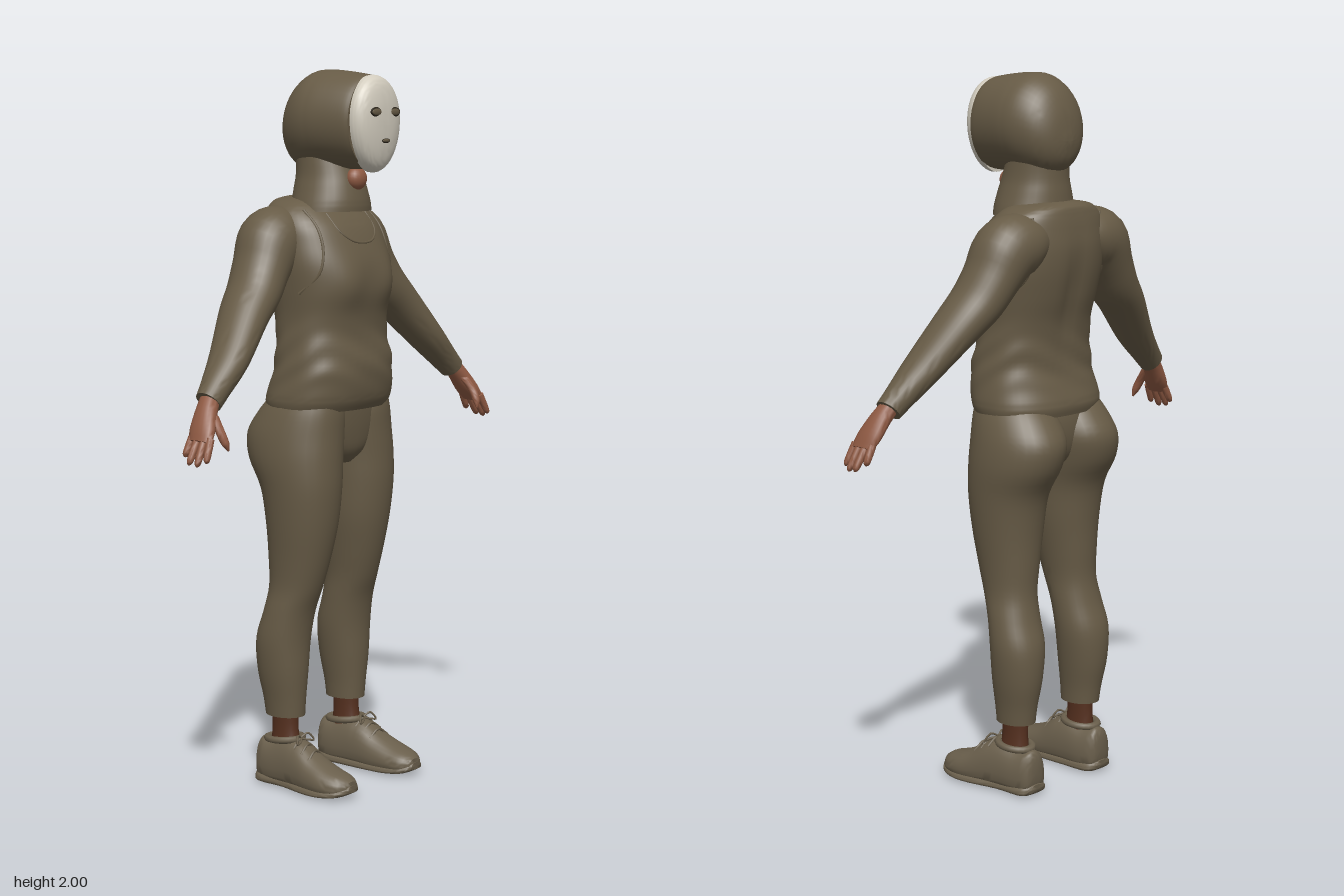
import * as THREE from 'three';
import { toCreasedNormals } from 'three/addons/utils/BufferGeometryUtils.js';

const mat = (name, color) => {
  const m = new THREE.MeshStandardMaterial({ color });
  m.name = name;
  return m;
};

// Smoothly interpolate rows of numbers
function spline(rows, steps) {
  const out = [], last = rows.length - 1;
  const get = (i) => rows[Math.min(last, Math.max(0, i))];
  for (let k = 0; k <= last * steps; k++) {
    const i = Math.min(last - 1, Math.floor(k / steps)), t = k / steps - i;
    out.push(get(i).map((b, c) => {
      const a = get(i - 1)[c], d = get(i + 1)[c], e = get(i + 2)[c];
      return b + 0.5 * t * (d - a + t * (2 * a - 5 * b + 4 * d - e + t * (3 * (b - d) + e - a)));
    }));
  }
  return out;
}

// Closed skin over rings of points; winding is corrected by signed volume
function loft(rows, point, seg = 32, steps = 4, crease = 0.9) {
  const rings = spline(rows, steps), pos = [], idx = [];
  rings.forEach((r, i) => {
    for (let j = 0; j < seg; j++) pos.push(...point(r, (j / seg) * Math.PI * 2, i, rings));
  });
  const n = rings.length;
  for (let i = 0; i < n - 1; i++) for (let j = 0; j < seg; j++) {
    const a = i * seg + j, b = i * seg + (j + 1) % seg;
    idx.push(a, b, a + seg, b, b + seg, a + seg);
  }
  for (const [ring, flip] of [[0, true], [n - 1, false]]) {
    const c = [0, 0, 0], id = pos.length / 3;
    for (let j = 0; j < seg; j++) for (let k = 0; k < 3; k++) c[k] += pos[(ring * seg + j) * 3 + k] / seg;
    pos.push(...c);
    for (let j = 0; j < seg; j++) {
      const a = ring * seg + j, b = ring * seg + (j + 1) % seg;
      idx.push(id, flip ? b : a, flip ? a : b);
    }
  }
  let volume = 0;
  const P = (i) => new THREE.Vector3().fromArray(pos, i * 3);
  for (let i = 0; i < idx.length; i += 3) volume += P(idx[i]).dot(P(idx[i + 1]).cross(P(idx[i + 2])));
  if (volume < 0) idx.reverse();
  const g = new THREE.BufferGeometry();
  g.setAttribute('position', new THREE.Float32BufferAttribute(pos, 3));
  g.setIndex(idx);
  return toCreasedNormals(g, crease);
}

const pw = (v, e) => Math.sign(v) * Math.abs(v) ** (2 / e);

// Horizontal section [y, xc, halfWidth, zFront, zBack]
const level = (s = 1, e = 2.1) => ([y, xc, w, f, b], a) =>
  [s * (xc + w * pw(Math.cos(a), e)), y, (f + b) / 2 + (f - b) / 2 * pw(Math.sin(a), e)];

// Section across a limb [x, y, z, radius, zRadius]
const limb = (s) => ([x, y, z, r, rz], a, i, all) => {
  const p = all[Math.max(0, i - 1)], q = all[Math.min(all.length - 1, i + 1)];
  const dx = q[0] - p[0], dy = q[1] - p[1], l = Math.hypot(dx, dy) || 1;
  return [s * (x - dy / l * r * Math.cos(a)), y + dx / l * r * Math.cos(a), z + rz * Math.sin(a)];
};

// Section across a shoe [z, xc, halfWidth, yBottom, yTop]
const shoeSection = (s) => ([z, xc, w, lo, hi], a) => {
  const y = Math.sin(a), mid = lo + (hi - lo) * 0.35;
  return [s * (xc + w * pw(Math.cos(a), 2.4)), mid + (y > 0 ? (hi - mid) * pw(y, 2) : (mid - lo) * pw(y, 4)), z];
};

const TORSO = [
  [1.07, 0, 0.192, 0.115, -0.145], [1.1, 0, 0.198, 0.13, -0.15], [1.15, 0, 0.192, 0.138, -0.135],
  [1.2, 0, 0.185, 0.138, -0.123], [1.27, 0, 0.176, 0.125, -0.122], [1.33, 0, 0.173, 0.127, -0.13],
  [1.4, 0, 0.18, 0.139, -0.15], [1.47, 0, 0.187, 0.135, -0.165], [1.53, 0, 0.185, 0.115, -0.17],
  [1.58, 0, 0.18, 0.088, -0.165], [1.62, 0, 0.16, 0.05, -0.158], [1.645, 0, 0.12, 0.02, -0.15],
  [1.655, 0, 0.06, -0.02, -0.13],
];
const TE = 2.4;

// Depth of the vest surface at x, y on the front (1) or back (-1)
function vestZ(x, y, side) {
  let i = 0;
  while (i < TORSO.length - 2 && TORSO[i + 1][0] < y) i++;
  const t = (y - TORSO[i][0]) / (TORSO[i + 1][0] - TORSO[i][0]);
  const [, , w, f, b] = TORSO[i].map((v, k) => v + (TORSO[i + 1][k] - v) * t);
  return (f + b) / 2 + side * (f - b) / 2 * Math.max(0, 1 - (Math.abs(x) / w) ** TE) ** (1 / TE);
}

export function createModel() {
  const cloth = mat('olive cloth', 0x675b46), shoeMat = mat('olive shoe', 0x6a5f4c);
  const skin = mat('skin', 0x8f5a43), sock = mat('dark ankle', 0x55301f);
  const white = mat('mask white', 0xd2ccbe), dark = mat('dark outline', 0x2c261c);
  const root = new THREE.Group();
  root.name = 'maskedFigure';
  const add = (name, geo, m, parent = root) => {
    const mesh = new THREE.Mesh(geo, m);
    mesh.name = name;
    parent.add(mesh);
    return mesh;
  };
  const blob = (name, m, p, s) => {
    const b = add(name, new THREE.SphereGeometry(1, 20, 14), m);
    b.position.set(...p);
    b.scale.set(...s);
  };
  const tube = (name, pts, r, m, parent) => add(name, new THREE.TubeGeometry(
    new THREE.CatmullRomCurve3(pts.map((p) => new THREE.Vector3(...p))), 28, r, 6), m, parent);

  // Vest with chest volume and soft folds at the waist
  add('vest', loft(TORSO, (r, a) => {
    const p = level(1, TE)(r, a), [x, y] = p;
    if (Math.sin(a) > 0) p[2] += 0.012 * Math.exp(-(((Math.abs(x) - 0.085) / 0.05) ** 2) - ((y - 1.42) / 0.06) ** 2);
    else p[2] += 0.014 * Math.exp(-((x / 0.03) ** 2) - ((y - 1.42) / 0.12) ** 2);
    const fold = 0.003 * Math.exp(-(((y - 1.22) / 0.07) ** 2)) * Math.sin(75 * y + 5 * Math.sin(a * 2));
    return [x * (1 + fold * 5), y, p[2] + fold * Math.sin(a)];
  }, 56, 5), cloth);

  // Vest seams
  const neckline = [[-0.085, 1.61], [-0.078, 1.565], [-0.045, 1.537], [0, 1.53], [0.045, 1.537], [0.078, 1.565], [0.085, 1.61]];
  tube('necklineSeam', neckline.map(([x, y]) => [x, y, vestZ(x, y, 1)]), 0.0035, cloth);
  for (const s of [1, -1]) for (const side of [1, -1]) {
    const hole = [[0.135, 1.62], [0.135, 1.57], [0.14, 1.51], [0.155, 1.45], [0.177, 1.395]];
    tube('armholeSeam', hole.map(([x, y]) => [s * x, y, vestZ(x, y, side)]), 0.0045, cloth);
  }

  // Hips between the legs
  add('hips', loft([[0.915, 0, 0.04, 0.06, -0.09], [0.95, 0, 0.11, 0.085, -0.12], [1.0, 0, 0.165, 0.095, -0.135],
    [1.06, 0, 0.185, 0.1, -0.135], [1.12, 0, 0.18, 0.1, -0.12]], level(1, 2.3)), cloth);

  // Hood: cowl and head covering
  add('cowl', loft([[1.615, 0, 0.118, 0.104, -0.11], [1.64, 0, 0.112, 0.104, -0.107], [1.68, 0, 0.1, 0.096, -0.104],
    [1.72, 0, 0.09, 0.084, -0.1], [1.79, 0, 0.085, 0.06, -0.1]], level()), cloth);
  add('hood', loft([[-0.133, 0.01, 1.82, 0.01], [-0.121, 0.06, 1.832, 0.068], [-0.09, 0.1, 1.847, 0.114],
    [-0.04, 0.123, 1.86, 0.136], [0.01, 0.128, 1.864, 0.136], [0.07, 0.121, 1.862, 0.133],
    [0.12, 0.111, 1.859, 0.129], [0.14, 0.104, 1.857, 0.125]],
  ([z, w, y, h], a) => [w * Math.cos(a), y + h * Math.sin(a), z], 40), cloth);
  blob('chin', skin, [0, 1.704, 0.088], [0.034, 0.032, 0.026]);

  // Face mask with eyes and mouth
  add('mask', loft([[0.135, 0.098, 0.131], [0.152, 0.098, 0.131], [0.17, 0.089, 0.12], [0.182, 0.07, 0.096],
    [0.19, 0.04, 0.055], [0.1925, 0.003, 0.004]],
  ([z, w, h], a) => [w * Math.cos(a) * (0.97 + 0.08 * Math.sin(a)), 1.853 + h * Math.sin(a), z], 40), white);
  for (const s of [1, -1]) {
    blob('eyeOutline', dark, [s * 0.04, 1.885, 0.188], [0.025, 0.013, 0.004]);
    blob('eye', cloth, [s * 0.04, 1.885, 0.189], [0.021, 0.01, 0.0045]);
  }
  blob('mouthOutline', dark, [0, 1.808, 0.189], [0.019, 0.0075, 0.0035]);
  blob('mouth', cloth, [0, 1.808, 0.19], [0.016, 0.005, 0.0038]);

  for (const s of [1, -1]) {
    const side = new THREE.Group();
    side.name = s > 0 ? 'leftLimbs' : 'rightLimbs';
    root.add(side);

    // Sleeve
    add('sleeve', loft([[0.08, 1.55, -0.075, 0.06, 0.07], [0.13, 1.55, -0.073, 0.082, 0.088],
      [0.185, 1.528, -0.068, 0.092, 0.092], [0.23, 1.465, -0.06, 0.075, 0.085], [0.275, 1.402, -0.048, 0.067, 0.082],
      [0.335, 1.342, -0.033, 0.058, 0.076], [0.43, 1.238, 0, 0.046, 0.062], [0.5, 1.17, 0.015, 0.039, 0.045],
      [0.537, 1.135, 0.022, 0.036, 0.037]], limb(s)), cloth, side);

    // Hand
    add('palm', loft([[0.525, 1.15, 0.022, 0.024, 0.028], [0.555, 1.115, 0.033, 0.024, 0.033],
      [0.585, 1.07, 0.045, 0.021, 0.041], [0.605, 1.038, 0.053, 0.014, 0.038]], limb(s), 20), skin, side);
    const fingers = [[0.021, 0.625, 1.0, 0.018], [0.042, 0.64, 0.983, 0.045], [0.064, 0.638, 0.98, 0.071], [0.084, 0.627, 0.99, 0.094]];
    for (const [z, x, y, tz] of fingers) {
      const at = (t, r) => [0.598 + (x - 0.598) * t, 1.05 + (y - 1.05) * t, z + (tz - z) * t, r, r];
      add('finger', loft([at(0, 0.011), at(0.5, 0.0105), at(0.88, 0.0085), at(1, 0.002)], limb(s), 10, 3), skin, side);
    }
    add('thumb', loft([[0.556, 1.105, 0.055, 0.015, 0.015], [0.562, 1.065, 0.085, 0.013, 0.014],
      [0.559, 1.035, 0.1, 0.011, 0.011], [0.553, 1.015, 0.106, 0.002, 0.002]], limb(s), 12), skin, side);

    // Trouser leg
    add('trouserLeg', loft([[1.1, 0.1, 0.085, 0.1, -0.12], [1.06, 0.1, 0.103, 0.105, -0.155], [1.0, 0.106, 0.113, 0.105, -0.188],
      [0.93, 0.114, 0.111, 0.106, -0.176], [0.85, 0.117, 0.102, 0.105, -0.132], [0.75, 0.117, 0.092, 0.094, -0.115],
      [0.65, 0.12, 0.078, 0.073, -0.108], [0.57, 0.124, 0.07, 0.05, -0.105], [0.5, 0.13, 0.074, 0.025, -0.117],
      [0.42, 0.135, 0.076, 0.012, -0.14], [0.33, 0.137, 0.066, 0.009, -0.139], [0.25, 0.136, 0.053, 0.004, -0.124],
      [0.2, 0.135, 0.048, 0.001, -0.117]], level(s)), cloth, side);
    add('ankle', loft([[0.24, 0.137, 0.032, -0.015, -0.1], [0.16, 0.137, 0.028, -0.015, -0.098],
      [0.09, 0.138, 0.034, 0, -0.105]], level(s), 20), sock, side);

    // Shoe, sole, collar and laces
    add('shoe', loft([[-0.141, 0.138, 0.02, 0.04, 0.1], [-0.13, 0.138, 0.04, 0.01, 0.127], [-0.085, 0.138, 0.05, 0.005, 0.125],
      [-0.03, 0.14, 0.053, 0.005, 0.138], [0.02, 0.143, 0.056, 0.005, 0.13], [0.07, 0.147, 0.059, 0.005, 0.1],
      [0.12, 0.15, 0.059, 0.008, 0.078], [0.165, 0.148, 0.049, 0.012, 0.064], [0.19, 0.145, 0.025, 0.022, 0.05]],
    shoeSection(s), 28), shoeMat, side);
    add('sole', loft([[-0.143, 0.138, 0.025, 0.01, 0.032], [-0.12, 0.138, 0.05, 0, 0.034], [-0.03, 0.138, 0.054, 0, 0.032],
      [0.06, 0.147, 0.063, 0, 0.03], [0.12, 0.15, 0.064, 0.002, 0.03], [0.17, 0.148, 0.05, 0.008, 0.034],
      [0.195, 0.145, 0.022, 0.02, 0.04]], shoeSection(s), 24), shoeMat, side);
    const collar = add('shoeCollar', new THREE.TorusGeometry(0.042, 0.01, 8, 24), shoeMat, side);
    collar.position.set(s * 0.138, 0.132, -0.058);
    collar.rotation.x = Math.PI / 2 - 0.08;
    collar.scale.y = 1.25;
    for (const [z, y] of [[0.005, 0.138], [0.032, 0.126], [0.058, 0.112]]) {
      tube('lace', [[-0.036, -0.02, -0.004], [0, 0.002, 0], [0.036, -0.02, 0.004]]
        .map(([x, dy, dz]) => [s * (0.144 + x), y + dy, z + dz]), 0.004, shoeMat, side);
    }
    for (const d of [1, -1]) {
      tube('laceBow', [[0, 0.142, 0.004], [d * 0.022, 0.152, 0.012], [d * 0.036, 0.132, 0.022], [d * 0.016, 0.135, 0.018], [0, 0.14, 0.006]]
        .map(([x, y, z]) => [s * 0.142 + x, y, z]), 0.003, shoeMat, side);
    }
  }
  return root;
}
